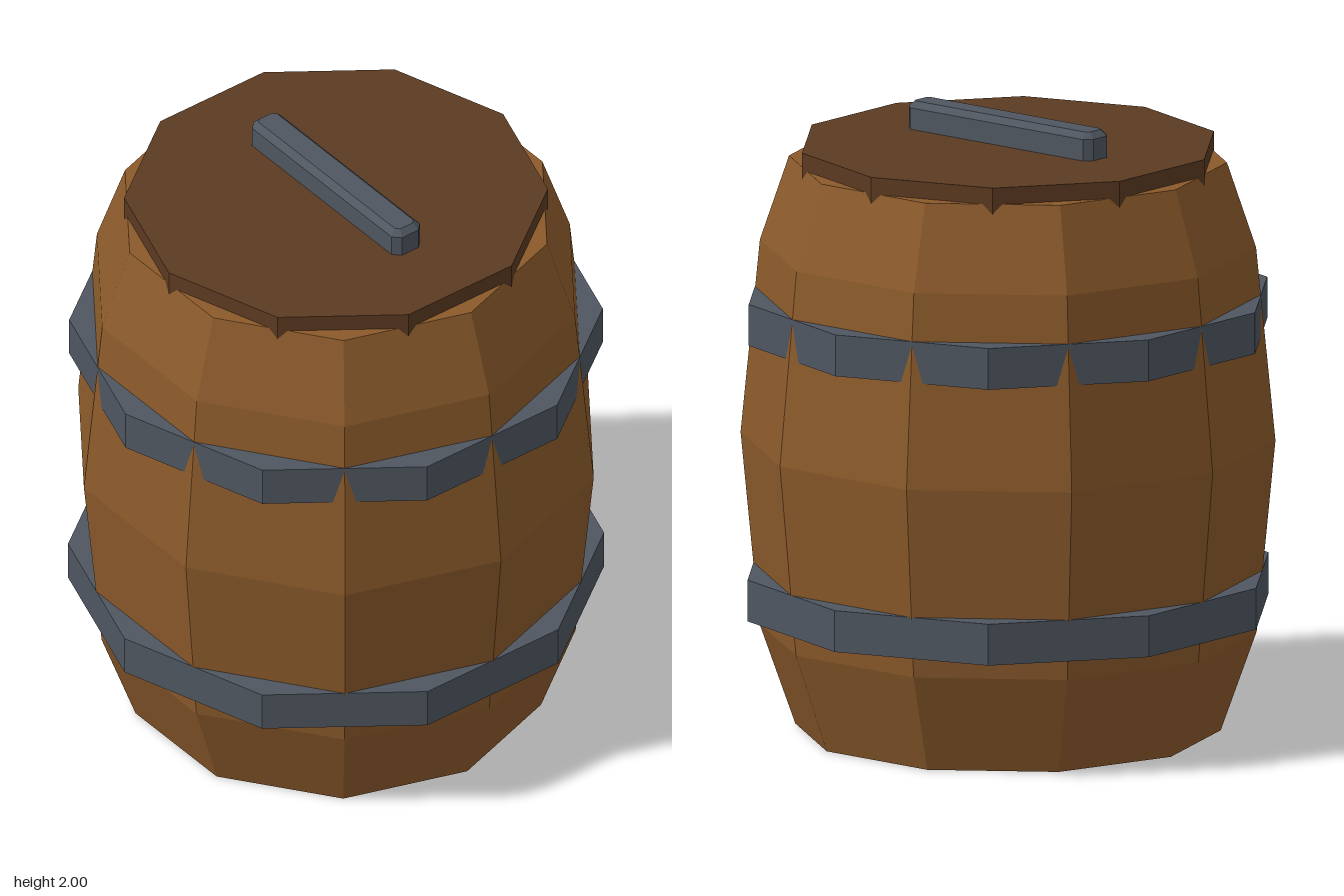
import * as THREE from 'three';

const SIDES = 10;
const wood = new THREE.MeshStandardMaterial({ color: 0x8b5a2b, flatShading: true });
const darkWood = new THREE.MeshStandardMaterial({ color: 0x5c3a21, flatShading: true });
const metal = new THREE.MeshStandardMaterial({ color: 0x4f5660, flatShading: true });

function add(group, name, geometry, material) {
  const mesh = new THREE.Mesh(geometry, material);
  mesh.name = name;
  group.add(mesh);
  return mesh;
}

// Straight ten-sided disc between two heights, corners on the z axis
function disc(radius, bottom, top) {
  return new THREE.CylinderGeometry(radius, radius, top - bottom, SIDES)
    .translate(0, (bottom + top) / 2, 0);
}

export function createModel() {
  const barrel = new THREE.Group();
  barrel.name = 'barrel';

  // Bulging body, closed at both ends, corners on the x axis
  const profile = [[0, 0], [0.68, 0], [0.795, 0.325], [0.855, 0.95], [0.793, 1.58], [0.70, 1.855], [0, 1.855]]
    .map(([r, y]) => new THREE.Vector2(r, y));
  add(barrel, 'body', new THREE.LatheGeometry(profile, SIDES).rotateY(Math.PI / 2), wood);

  // Hoops, turned half a side against the body
  add(barrel, 'lowerHoop', disc(0.855, 0.39, 0.525), metal);
  add(barrel, 'upperHoop', disc(0.851, 1.29, 1.425), metal);

  // Lid, partly sunk into the body
  add(barrel, 'lid', disc(0.676, 1.80, 1.91), darkWood);

  // Chamfered bar handle, its lower bevel hidden in the lid
  const x = 0.365, z = 0.037, cut = 0.012, bevel = 0.02;
  const outline = new THREE.Shape([
    [x, -z + cut], [x, z - cut], [x - cut, z], [-x + cut, z],
    [-x, z - cut], [-x, -z + cut], [-x + cut, -z], [x - cut, -z],
  ].map(([a, b]) => new THREE.Vector2(a, b)));
  const bar = new THREE.ExtrudeGeometry(outline, {
    depth: 0.1, bevelThickness: bevel, bevelSize: bevel, bevelSegments: 1,
  }).rotateX(-Math.PI / 2).translate(0, 1.88, 0);
  add(barrel, 'handle', bar, metal);

  return barrel;
}
